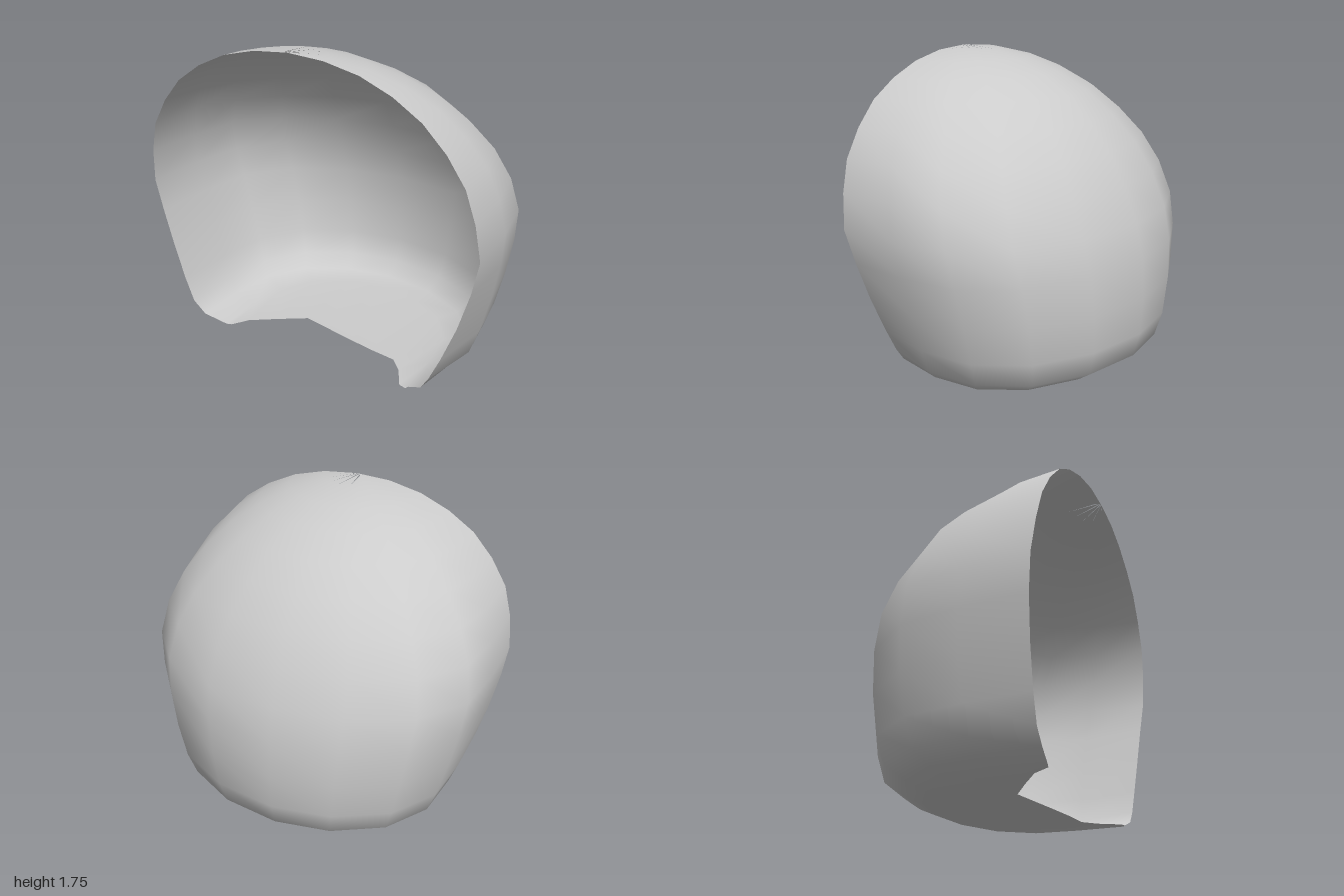
import * as THREE from 'three';

// Half-ring rows from the crown to the floor: height, half width, front z, back z, inward dent of the +x front edge
const ROWS = [
  [1.745, 0.0, 0.63, 0.63, 0],
  [1.73, 0.2, 0.63, 0.43, 0],
  [1.685, 0.39, 0.625, 0.24, 0],
  [1.61, 0.56, 0.62, 0.06, 0],
  [1.51, 0.71, 0.615, -0.11, 0],
  [1.38, 0.83, 0.605, -0.26, 0],
  [1.23, 0.925, 0.595, -0.39, 0],
  [1.06, 0.975, 0.58, -0.49, 0],
  [0.87, 1.0, 0.56, -0.57, 0],
  [0.68, 0.975, 0.54, -0.615, 0.02],
  [0.46, 0.93, 0.525, -0.625, 0.045],
  [0.25, 0.875, 0.515, -0.61, 0.075],
  [0.11, 0.825, 0.51, -0.57, 0.09],
  [0.04, 0.75, 0.505, -0.47, 0.06],
  [0.0, 0.61, 0.48, -0.38, 0],
];

// Front edge of the floor, notched in the middle (x, z)
const FLOOR_EDGE = [
  [-0.58, 0.47], [-0.52, 0.38], [-0.38, 0.28], [-0.23, 0.18], [-0.06, 0.215], [0.11, 0.25],
  [0.27, 0.28], [0.42, 0.3], [0.49, 0.37], [0.56, 0.49], [0.6, 0.5],
];

const COLS = 10;
// Squared-off side profile, from the back centre to the front edge
const BOXY = [0, 0.39, 0.73, 0.935, 0.985, 1];

function rowPoint([y, w, zf, zb, dent], j) {
  const k = j - COLS / 2;
  const angle = (k / COLS) * Math.PI;
  const boxiness = THREE.MathUtils.clamp((1.7 - y) / 0.7, 0, 1);
  const side = THREE.MathUtils.lerp(Math.sin(angle), Math.sign(k) * BOXY[Math.abs(k)], boxiness);
  const z = zf + (zb - zf) * Math.cos(angle);
  const x = w * side - 0.03 * (1 - Math.abs(side)) - (j === COLS ? dent : 0);
  return [x, y, z];
}

export function createModel() {
  const positions = [];
  const index = [];
  for (const row of ROWS) {
    for (let j = 0; j <= COLS; j++) positions.push(...rowPoint(row, j));
  }
  for (const [x, z] of FLOOR_EDGE) positions.push(x, 0, z);

  // Join each row to the next
  const n = COLS + 1;
  for (let i = 0; i < ROWS.length; i++) {
    for (let j = 0; j < COLS; j++) {
      const a = i * n + j, b = a + 1, c = a + n, d = c + 1;
      if (i > 0) index.push(a, b, c);
      index.push(b, d, c);
    }
  }

  const geometry = new THREE.BufferGeometry();
  geometry.setAttribute('position', new THREE.Float32BufferAttribute(positions, 3));
  geometry.setIndex(index);
  geometry.computeVertexNormals();

  const shell = new THREE.Mesh(
    geometry,
    new THREE.MeshStandardMaterial({ color: 0xcccccc, side: THREE.DoubleSide })
  );
  shell.name = 'openShell';

  const group = new THREE.Group();
  group.name = 'domeShell';
  group.add(shell);
  return group;
}
